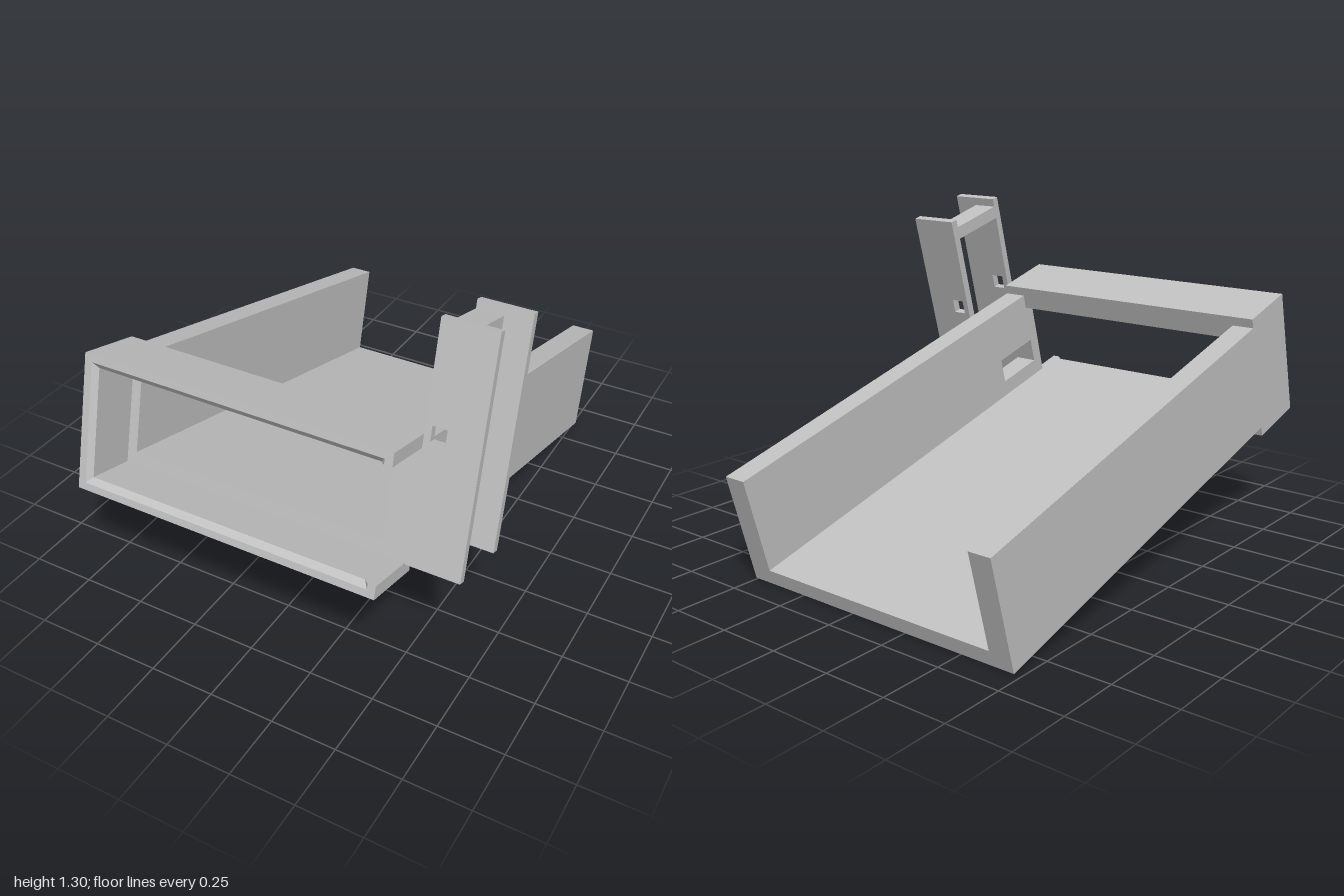
import * as THREE from 'three';

const grey = new THREE.MeshStandardMaterial({ color: 0xc2c2c2 });
grey.name = 'light grey';

const rect = (x0, y0, x1, y1) =>
  [[x0, y0], [x1, y0], [x1, y1], [x0, y1]].map(([x, y]) => new THREE.Vector2(x, y));

// Extrude an outline, with optional holes, between z0 and z1
function slab(points, z0, z1, holes = []) {
  const shape = new THREE.Shape(points);
  for (const h of holes) shape.holes.push(new THREE.Path(h));
  const g = new THREE.ExtrudeGeometry(shape, { depth: z1 - z0, bevelEnabled: false });
  return g.translate(0, 0, z0);
}

export function createModel() {
  const body = new THREE.Group();
  body.name = 'tiltedBody';
  const add = (name, geometry) => {
    const m = new THREE.Mesh(geometry, grey);
    m.name = name;
    body.add(m);
  };
  const box = (name, x0, y0, z0, x1, y1, z1) => add(name,
    new THREE.BoxGeometry(x1 - x0, y1 - y0, z1 - z0)
      .translate((x0 + x1) / 2, (y0 + y1) / 2, (z0 + z1) / 2));

  const L = -0.72, R = 0.51, inL = -0.63, inR = 0.415; // outer and inner sides
  const headBack = 1.687, plateFront = 1.732, lipBack = 1.924, front = 1.943;
  const low = 0.01, high = 0.433; // slot floor and ceiling

  // Open trough; one wall has a window
  box('floor', inL, 0, 0, inR, 0.06, headBack);
  box('plainWall', L, 0, 0, inL, 0.445, headBack);
  const wall = slab(rect(0, 0, headBack, 0.445), 0, R - inR, [rect(1.463, 0.125, 1.683, 0.228)]);
  add('windowWall', wall.rotateY(-Math.PI / 2).translate(R, 0, 0));

  // Head: back frame, then a slot open on one side
  add('headBackFrame', slab(rect(L, -0.04, R, 0.483), headBack, plateFront,
    [rect(inL, 0.06, inR, 0.386)]));
  const bracket = (x, y0, y1) => [[L, -0.04], [R, -0.04], [R, y0], [x, y0],
    [x, y1], [R, y1], [R, 0.483], [L, 0.483]].map(p => new THREE.Vector2(...p));
  add('slotSurround', slab(bracket(-0.67, low, high), plateFront, lipBack));

  // Front lip, its inner edge chamfered by narrowing the back outline
  const lip = slab([[L, -0.04], [R, -0.04], [R, low], [0.48, low], [0.48, -0.012],
    [-0.69, -0.012], [-0.69, 0.454], [0.48, 0.454], [0.48, high], [R, high],
    [R, 0.483], [L, 0.483]].map(p => new THREE.Vector2(...p)), 0, front - lipBack);
  const pos = lip.attributes.position;
  const near = (a, b) => Math.abs(a - b) < 1e-4;
  for (let i = 0; i < pos.count; i++) {
    if (pos.getZ(i) > 1e-4) continue;
    const x = pos.getX(i), y = pos.getY(i);
    if (near(x, 0.48)) pos.setX(i, 0.46);
    if (near(x, -0.69)) pos.setX(i, -0.67);
    if (near(y, -0.012)) pos.setY(i, low);
    if (near(y, 0.454)) pos.setY(i, high);
  }
  lip.computeVertexNormals();
  add('frontLip', lip.translate(0, 0, lipBack));

  // Two upright side plates with square holes, joined by a crossbar
  [[1.417, 1.449, 'rearUpright'], [1.702, plateFront, 'frontUpright']].forEach(([z0, z1, name]) =>
    add(name, slab(rect(R, 0.002, 0.717, 0.886), z0, z1, [rect(0.535, 0.462, 0.59, 0.519)])));
  box('crossbar', R, 0.8, 1.449, 0.613, 0.852, 1.702);

  // Tilt the front upwards, standing on the rear bottom edge
  body.rotation.x = -Math.PI / 12;
  body.position.z = -0.885;
  const model = new THREE.Group();
  model.name = 'slottedTrough';
  model.add(body);
  return model;
}
